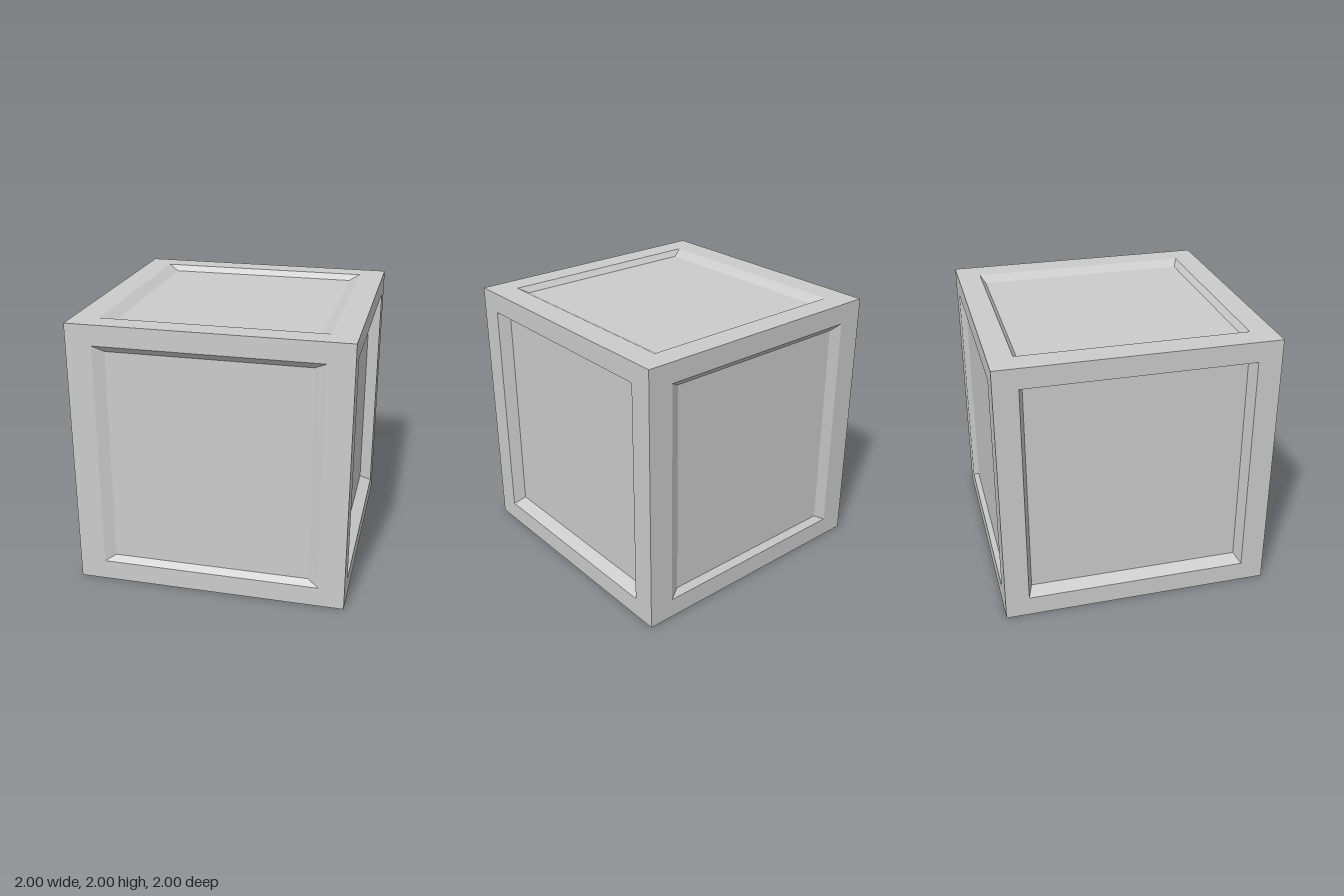
import * as THREE from 'three';

// Per-axis sizes (x, y, z)
const OUTER = [1, 1, 1];               // cube half extents
const RIM = [0.81, 0.85, 0.825];       // half extents of the recess opening
const FLOOR = [0.73, 0.805, 0.79];     // half extents of the recess floor
const DEPTH = [0.09, 0.044, 0.038];    // recess depth on the faces of each axis

// One cube face: flat frame, bevelled walls and sunken panel
function faceGeometry(axis, sign) {
  const u = (axis + 1) % 3, v = (axis + 2) % 3;
  const ring = (half, inset) => [[-1, -1], [1, -1], [1, 1], [-1, 1]].map(([a, b]) => {
    const p = [0, 0, 0];
    p[axis] = sign * (1 - inset);
    p[u] = a * half[u];
    p[v] = sign * b * half[v];
    return p;
  });
  const rings = [ring(OUTER, 0), ring(RIM, 0), ring(FLOOR, DEPTH[axis])];
  const positions = [];
  const quad = (a, b, c, d) => positions.push(...a, ...b, ...c, ...a, ...c, ...d);
  for (let r = 0; r < 2; r++) {
    for (let i = 0; i < 4; i++) {
      const j = (i + 1) % 4;
      quad(rings[r][i], rings[r][j], rings[r + 1][j], rings[r + 1][i]);
    }
  }
  quad(...rings[2]);
  const geometry = new THREE.BufferGeometry();
  geometry.setAttribute('position', new THREE.Float32BufferAttribute(positions, 3));
  geometry.computeVertexNormals();
  return geometry;
}

export function createModel() {
  const group = new THREE.Group();
  group.name = 'panelledCube';
  const material = new THREE.MeshStandardMaterial({ color: 0xcccccc, flatShading: true });
  const names = [['leftFace', 'rightFace'], ['topFace', 'bottomFace'], ['frontFace', 'backFace']];

  // Six recessed faces
  names.forEach((pair, axis) => pair.forEach((name, k) => {
    const mesh = new THREE.Mesh(faceGeometry(axis, k === 0 ? 1 : -1), material);
    mesh.name = name;
    mesh.position.y = 1;
    group.add(mesh);
  }));
  return group;
}
